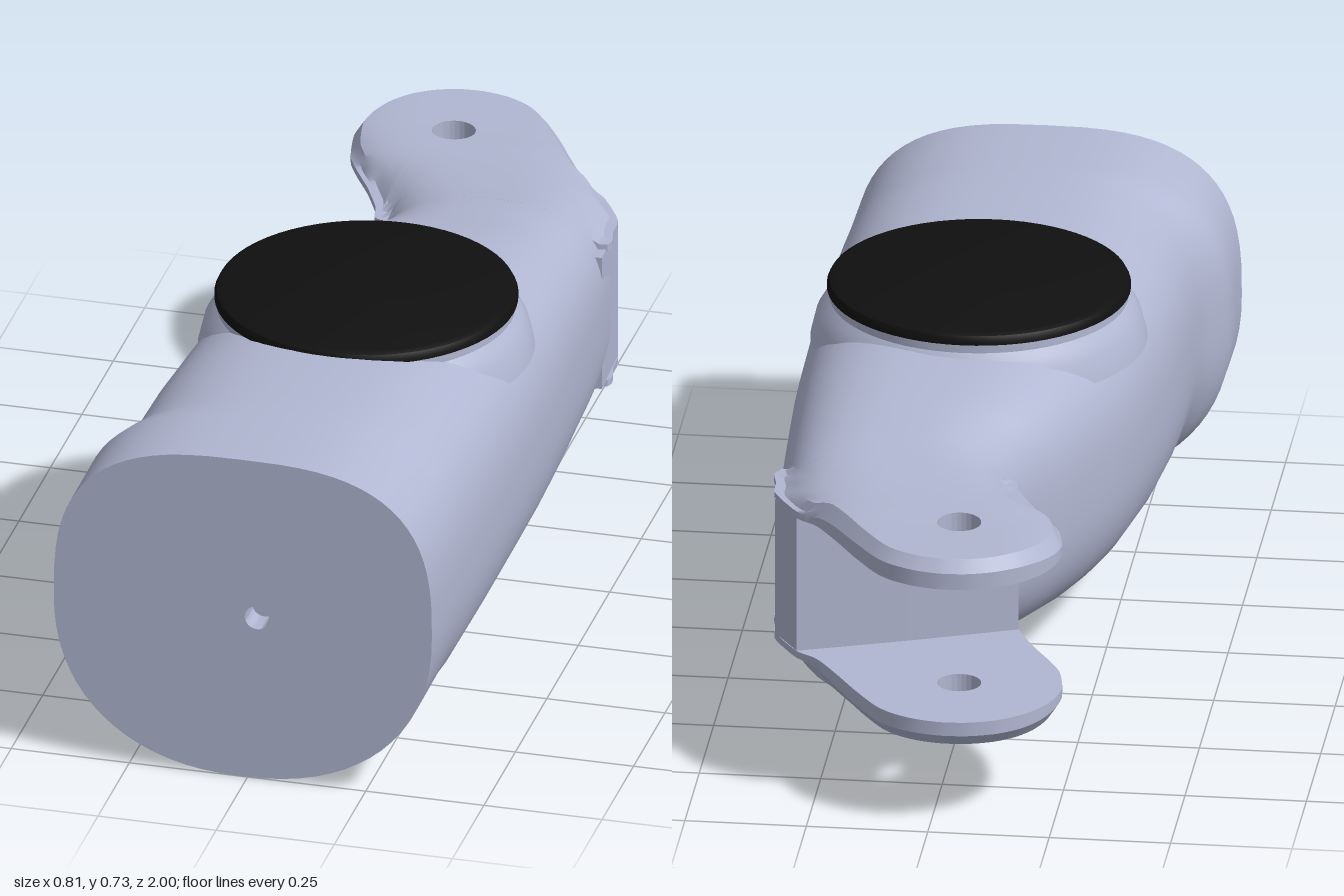
import * as THREE from 'three';
import { toCreasedNormals } from 'three/addons/utils/BufferGeometryUtils.js';

// z, left x, right x, top y, bottom y, upper roundness, lower roundness
const STATIONS = [
  [1, -0.41, 0.39, 0.725, 0, 2.9, 2.25],
  [0.81, -0.41, 0.394, 0.724, 0.015, 2.9, 2.25],
  [0.78, -0.397, 0.395, 0.724, 0.017, 2.9, 2.25],
  [0.74, -0.372, 0.396, 0.724, 0.02, 2.9, 2.3],
  [0.68, -0.36, 0.398, 0.724, 0.025, 2.9, 2.3],
  [0.5, -0.355, 0.402, 0.722, 0.037, 2.9, 2.35],
  [0.3, -0.34, 0.404, 0.718, 0.052, 2.9, 2.4],
  [0.1, -0.308, 0.402, 0.707, 0.068, 2.9, 2.5],
  [0, -0.285, 0.4, 0.698, 0.077, 2.9, 2.5],
  [-0.1, -0.25, 0.395, 0.685, 0.09, 3, 2.6],
  [-0.25, -0.19, 0.388, 0.662, 0.115, 3, 2.7],
  [-0.34, -0.135, 0.383, 0.647, 0.13, 3, 2.8],
  [-0.4, -0.114, 0.379, 0.64, 0.14, 3, 2.9],
  [-0.44, -0.112, 0.376, 0.635, 0.147, 3, 3],
  [-0.5, -0.128, 0.37, 0.626, 0.155, 3.2, 3.2],
  [-0.6, -0.18, 0.36, 0.614, 0.17, 3.6, 3.6],
  [-0.68, -0.25, 0.32, 0.607, 0.177, 4.5, 4.5],
  [-0.8, -0.3, 0.28, 0.601, 0.185, 6, 6],
  [-1, -0.3, 0.25, 0.6, 0.19, 6, 6],
];
const PIVOT = [-0.04, -0.79];

function station(z) {
  let i = 0;
  while (i < STATIONS.length - 2 && z < STATIONS[i + 1][0]) i++;
  const a = STATIONS[i], b = STATIONS[i + 1];
  const t = THREE.MathUtils.clamp((a[0] - z) / (a[0] - b[0]), 0, 1);
  return a.map((v, k) => v + (b[k] - v) * t);
}
const midY = (T, B) => B + (T - B) * 0.51;

// Closed rounded-square cross-section of the body
function section(z, scale = 1, count = 72) {
  const [, L, R, T, B, nTop, nLow] = station(z);
  const cy = midY(T, B), pts = [];
  for (let j = 0; j < count; j++) {
    const a = (j / count) * Math.PI * 2, c = Math.cos(a), s = Math.sin(a);
    const p = 2 / (s >= 0 ? nTop : nLow);
    const x = (L + R) / 2 + (R - L) / 2 * Math.sign(c) * Math.abs(c) ** p * scale;
    const h = s >= 0 ? T - cy : cy - B;
    pts.push(new THREE.Vector3(x, cy + h * Math.sign(s) * Math.abs(s) ** p * scale, z));
  }
  return pts;
}

// Height of the body skin above or below a plan position
function skin(x, z, upper) {
  const [, L, R, T, B, nTop, nLow] = station(z);
  const cy = midY(T, B), n = upper ? nTop : nLow;
  const u = Math.min(1, Math.abs(x - (L + R) / 2) / ((R - L) / 2));
  return cy + (upper ? T - cy : B - cy) * (1 - u ** n) ** (1 / n);
}

// Skin over a list of closed rings
function loft(rings, crease = 0.6) {
  const n = rings[0].length, index = [];
  for (let i = 0; i < rings.length - 1; i++) {
    for (let j = 0; j < n; j++) {
      const k = (j + 1) % n, a = i * n + j, b = i * n + k;
      index.push(a, a + n, b, b, a + n, b + n);
    }
  }
  const g = new THREE.BufferGeometry().setFromPoints(rings.flat());
  g.setIndex(index);
  return toCreasedNormals(g, crease);
}

// Plan outline of a fork plate
function forkOutline() {
  const p = [[0.373, -0.46], [0.369, -0.52], [0.364, -0.575], [0.31, -0.665], [0.265, -0.7],
    [0.215, -0.775], [0.17, -0.85], [0.12, -0.925]];
  for (let i = 0; i <= 8; i++) {
    const a = 0.95 + (Math.PI - 0.95) * i / 8;
    p.push([PIVOT[0] + 0.212 * Math.cos(a), PIVOT[1] - 0.21 * Math.sin(a)]);
  }
  p.push([-0.237, -0.71], [-0.207, -0.65], [-0.166, -0.58], [-0.128, -0.5], [-0.112, -0.45],
    [0, -0.45], [0.12, -0.45], [0.25, -0.45]);
  const curve = new THREE.CatmullRomCurve3(p.map(([x, z]) => new THREE.Vector3(x, 0, z)), true, 'catmullrom', 0.35);
  return curve.getSpacedPoints(120).slice(0, 120);
}

// Fork plate with a round pin hole; inner is the height of its slot face
function forkPlate(upper, inner) {
  const outline = forkOutline(), dir = upper ? 1 : -1;
  const at = (t, flat) => outline.map((o) => {
    const d = new THREE.Vector2(o.x - PIVOT[0], o.z - PIVOT[1]);
    const r = THREE.MathUtils.lerp(0.045, d.length(), t);
    d.setLength(r);
    const x = PIVOT[0] + d.x, z = PIVOT[1] + d.y;
    if (flat) return new THREE.Vector3(x, inner, z);
    const rim = THREE.MathUtils.clamp((t - 0.88) / 0.12, 0, 1) * THREE.MathUtils.smoothstep(-z, 0.58, 0.7);
    const h = Math.max(0.015, (skin(x, z, upper) - inner) * dir - rim * 0.025);
    return new THREE.Vector3(x, inner + dir * h, z);
  });
  const rings = [at(0, true)];
  for (const t of [0, 0.2, 0.4, 0.55, 0.7, 0.8, 0.88, 0.94, 1]) rings.push(at(t, false));
  rings.push(at(1, true), at(0, true));
  return loft(upper ? rings : rings.reverse(), 0.5);
}

export function createModel() {
  const group = new THREE.Group();
  const shell = new THREE.MeshStandardMaterial({ color: 0xb1b7d2 });
  shell.name = 'pale blue grey';
  const black = new THREE.MeshStandardMaterial({ color: 0x101010 });
  black.name = 'black';
  const add = (name, geometry, material = shell) => {
    const m = new THREE.Mesh(geometry, material);
    m.name = name;
    group.add(m);
    return m;
  };

  // Body skin, closed at the rear
  const zs = STATIONS.map((s) => s[0]).filter((z) => z >= -0.5);
  const rings = [];
  zs.forEach((z, i) => {
    rings.push(section(z));
    if (i < zs.length - 1) rings.push(section((z + zs[i + 1]) / 2));
  });
  rings.push(section(-0.5, 0.01));
  add('body', loft(rings));

  // Flat front face with a small blind hole
  const face = new THREE.Shape(section(1).map((p) => new THREE.Vector2(p.x, p.y)));
  face.holes.push(new THREE.Path().absarc(0.02, 0.367, 0.026, 0, Math.PI * 2, true));
  add('frontFace', new THREE.ShapeGeometry(face, 16)).position.z = 1;
  const bore = [[0.0001, -0.06], [0.026, -0.06], [0.026, 0]].map(([x, y]) => new THREE.Vector2(x, y));
  const boreGeo = new THREE.LatheGeometry(bore.reverse(), 24).rotateX(Math.PI / 2);
  add('frontHole', toCreasedNormals(boreGeo, 0.6)).position.set(0.02, 0.367, 1);

  // Web between the fork plates, ending in the slot wall
  const web = new THREE.Shape([[-0.1, -0.42], [0.372, -0.42], [0.365, -0.575], [0.31, -0.664], [0.09, -0.585], [-0.128, -0.5]]
    .map(([x, z]) => new THREE.Vector2(x, -z)));
  const webGeo = new THREE.ExtrudeGeometry(web, { depth: 0.3, bevelEnabled: false }).rotateX(-Math.PI / 2);
  add('slotWall', webGeo).position.y = 0.243;

  // Fork
  add('upperFork', forkPlate(true, 0.54));
  add('lowerFork', forkPlate(false, 0.245));

  // Joint boss and its cap
  const lathe = (pts) => toCreasedNormals(
    new THREE.LatheGeometry(pts.map(([x, y]) => new THREE.Vector2(x, y)), 64), 0.6);
  add('boss', lathe([[0.345, 0.6], [0.333, 0.65], [0.318, 0.675], [0.306, 0.69], [0.306, 0.712], [0.0001, 0.712]]))
    .position.set(0.035, 0, 0.187);
  add('bossCap', lathe([[0.0001, 0.709], [0.311, 0.709], [0.311, 0.718], [0.306, 0.728], [0.294, 0.733], [0.0001, 0.733]]), black)
    .position.set(0.035, 0, 0.187);
  return group;
}
